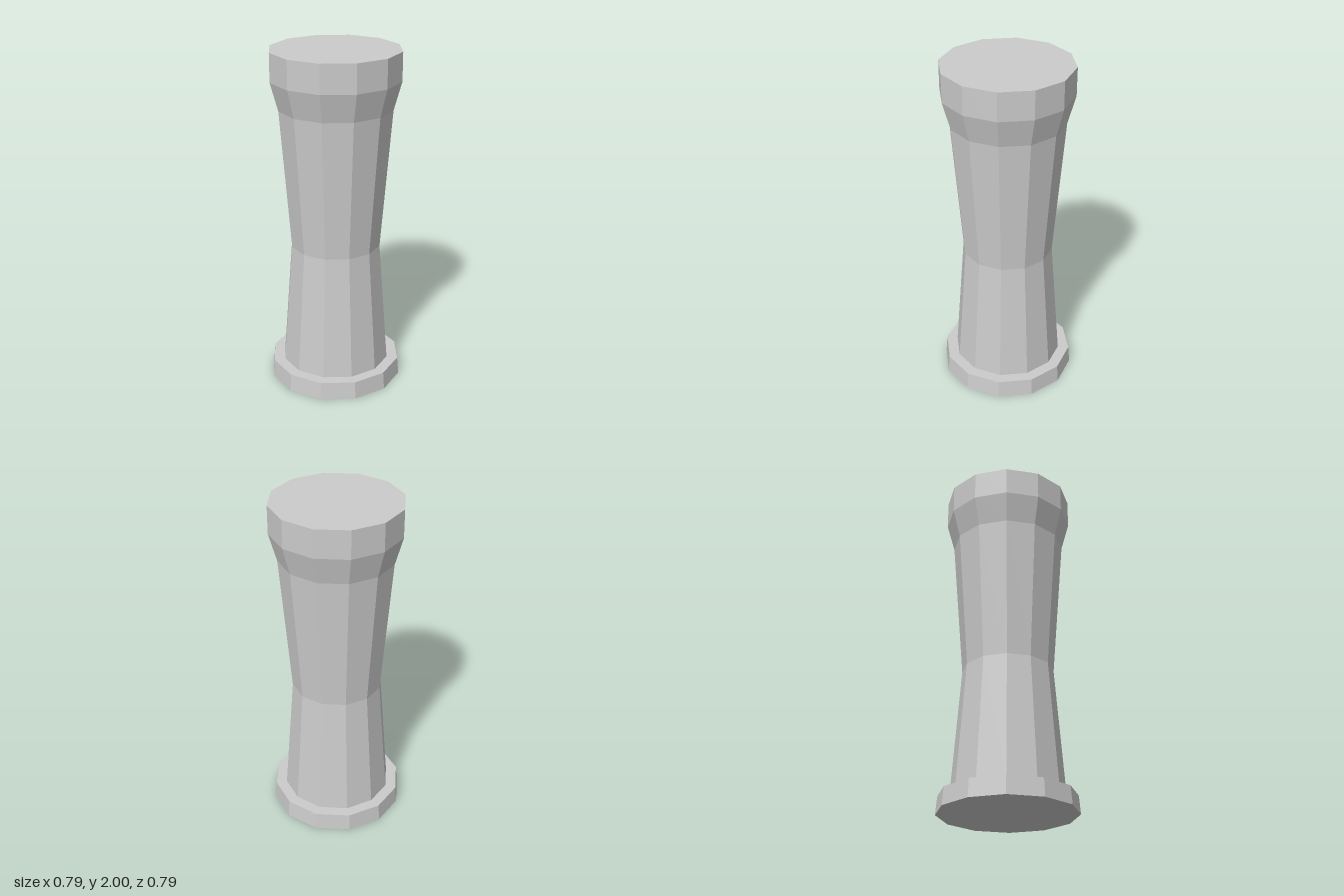
import * as THREE from 'three';

const SIDES = 12;

// Faceted solid of revolution from [radius, height] pairs, listed bottom to top
function turned(name, profile, material) {
  const points = profile.map(([r, y]) => new THREE.Vector2(r, y));
  const mesh = new THREE.Mesh(new THREE.LatheGeometry(points, SIDES), material);
  mesh.name = name;
  return mesh;
}

export function createModel() {
  const group = new THREE.Group();
  group.name = 'column';
  const stone = new THREE.MeshStandardMaterial({ color: 0xcccccc, flatShading: true });

  // Slightly tapered foot disc
  group.add(turned('base', [[0, 0], [0.397, 0], [0.388, 0.105], [0, 0.105]], stone));

  // Waisted shaft flaring into a straight-sided capital
  group.add(turned('shaftAndCapital', [
    [0, 0.105], [0.322, 0.105], [0.265, 0.845], [0.33, 1.67],
    [0.375, 1.835], [0.375, 2], [0, 2],
  ], stone));

  return group;
}
